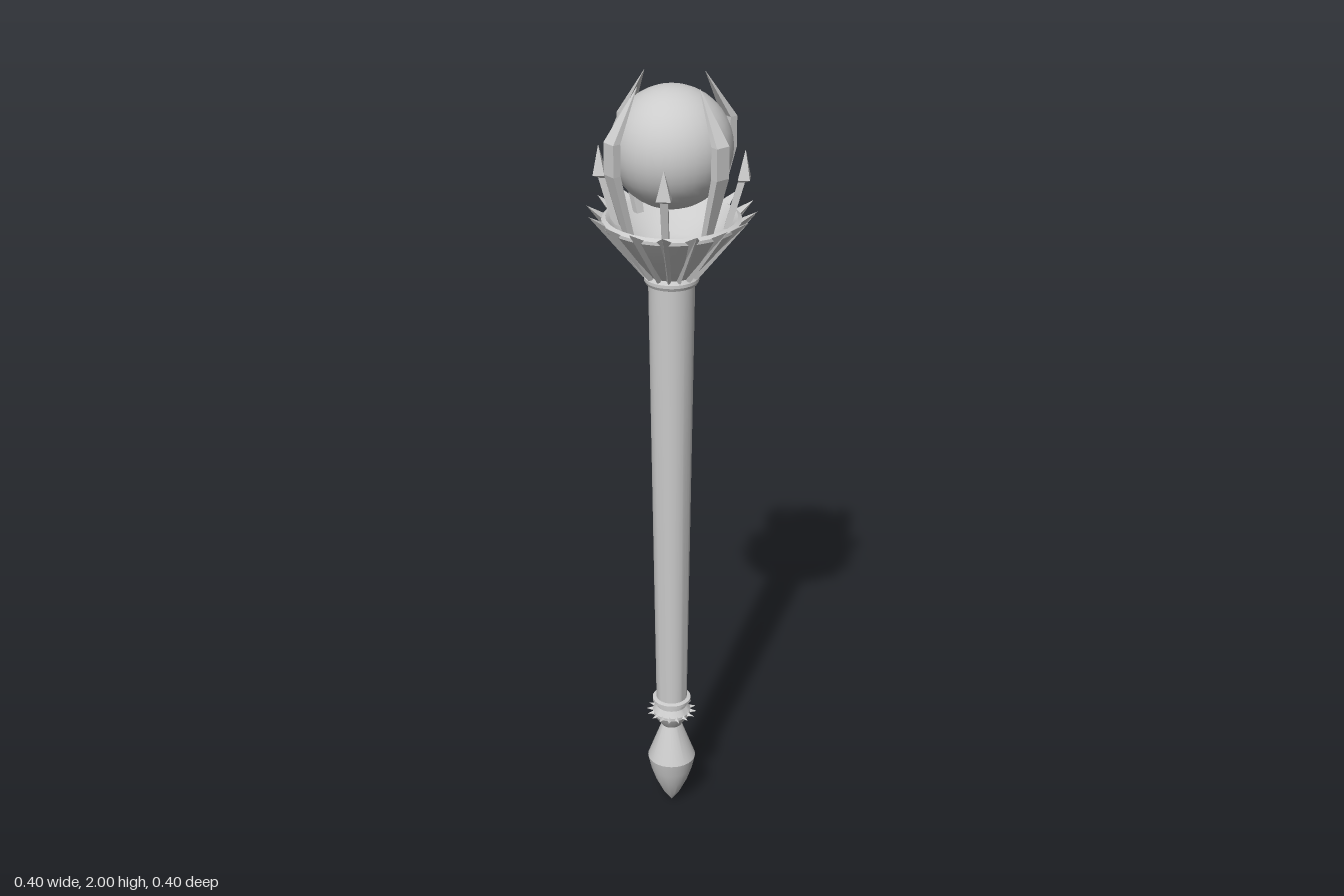
import * as THREE from 'three';
import { toCreasedNormals } from 'three/addons/utils/BufferGeometryUtils.js';

const grey = new THREE.MeshStandardMaterial({ color: 0xcccccc });
const TURN = -0.1; // angle of the first rib

// Turned part from [radius, y] points, listed from bottom to top on the outside
function turned(name, points, segments = 32) {
  const profile = points.map(([r, y]) => new THREE.Vector2(r, y));
  const mesh = new THREE.Mesh(toCreasedNormals(new THREE.LatheGeometry(profile, segments), 0.45), grey);
  mesh.name = name;
  return mesh;
}

// Faceted solid through rings of [x, y, z] corners, counter-clockwise from above
function loft(rings) {
  const pos = [];
  const tri = (a, b, c) => pos.push(...a, ...b, ...c);
  const n = rings[0].length;
  for (let i = 0; i < rings.length - 1; i++) {
    for (let j = 0; j < n; j++) {
      const k = (j + 1) % n;
      tri(rings[i][j], rings[i][k], rings[i + 1][k]);
      tri(rings[i][j], rings[i + 1][k], rings[i + 1][j]);
    }
  }
  const top = rings[rings.length - 1];
  for (let j = 1; j < n - 1; j++) {
    tri(rings[0][0], rings[0][j + 1], rings[0][j]);
    tri(top[0], top[j], top[j + 1]);
  }
  const geo = new THREE.BufferGeometry();
  geo.setAttribute('position', new THREE.Float32BufferAttribute(pos, 3));
  geo.computeVertexNormals();
  return geo;
}

// Rectangular section at radius r: half thickness t, half width w
const section = (r, y, t, w) => [[r + t, y, w], [r + t, y, -w], [r - t, y, -w], [r - t, y, w]];

// Copies of one geometry around the axis
function around(name, geo, count, start) {
  const group = new THREE.Group();
  group.name = name + 's';
  for (let i = 0; i < count; i++) {
    const mesh = new THREE.Mesh(geo, grey);
    mesh.name = name;
    mesh.rotation.y = -(start + (i * Math.PI * 2) / count);
    group.add(mesh);
  }
  return group;
}

export function createModel() {
  const model = new THREE.Group();
  model.name = 'scepter';

  // Pointed pommel, collar and tapering shaft
  model.add(turned('pommel', [[0, 0], [0.022, 0.032], [0.043, 0.077], [0.055, 0.113], [0.063, 0.15], [0.025, 0.255], [0, 0.255]]));
  model.add(turned('lowerCollar', [
    [0, 0.25], [0.025, 0.25], [0.046, 0.28], [0.05, 0.288], [0.05, 0.296], [0.04, 0.312],
    [0.04, 0.325], [0.05, 0.327], [0.05, 0.335], [0.04, 0.338], [0, 0.338],
  ]));
  model.add(turned('shaft', [[0, 0.33], [0.04, 0.33], [0.056, 1.52], [0, 1.52]]));
  model.add(turned('upperCollar', [[0.05, 1.505], [0.062, 1.51], [0.066, 1.518], [0.066, 1.526], [0.06, 1.535], [0, 1.535]]));

  // Small studs around the lower collar
  const stud = new THREE.ConeGeometry(0.008, 0.022, 4);
  stud.rotateZ(-Math.PI / 2).translate(0.056, 0.292, 0);
  const studs = toCreasedNormals(stud, 0.3);
  model.add(around('collarStud', studs, 16, TURN));

  // Hollow cup with a narrow bevelled rim
  model.add(turned('cup', [
    [0, 1.53], [0.055, 1.53], [0.11, 1.592], [0.165, 1.662], [0.165, 1.67], [0.155, 1.676],
    [0.145, 1.668], [0.12, 1.635], [0.07, 1.605], [0, 1.595],
  ]));

  // Ridged ribs that end in raised points outside the rim
  const rib = loft([
    [[0.07, 1.53, 0], [0.05, 1.53, -0.007], [0.05, 1.53, 0.007]],
    [[0.2, 1.693, 0], [0.162, 1.67, -0.018], [0.162, 1.67, 0.018]],
  ]);
  model.add(around('cupRib', rib, 16, TURN));

  // Long claws bent around the orb, and short arrow-headed prongs
  const claw = loft([
    section(0.125, 1.65, 0.008, 0.01),
    section(0.172, 1.81, 0.01, 0.018),
    section(0.172, 1.885, 0.01, 0.018),
    section(0.1, 2, 0.0005, 0.0005),
  ]);
  model.add(around('longClaw', claw, 4, TURN + Math.PI / 8));
  const prong = loft([
    section(0.13, 1.65, 0.008, 0.008),
    section(0.162, 1.765, 0.008, 0.009),
    section(0.168, 1.772, 0.014, 0.017),
    section(0.17, 1.84, 0.0005, 0.0005),
  ]);
  model.add(around('shortProng', prong, 4, TURN - Math.PI / 8));

  // Orb held between the claws
  const orb = new THREE.Mesh(new THREE.SphereGeometry(0.143, 32, 20), grey);
  orb.name = 'orb';
  orb.position.y = 1.843;
  model.add(orb);

  return model;
}
